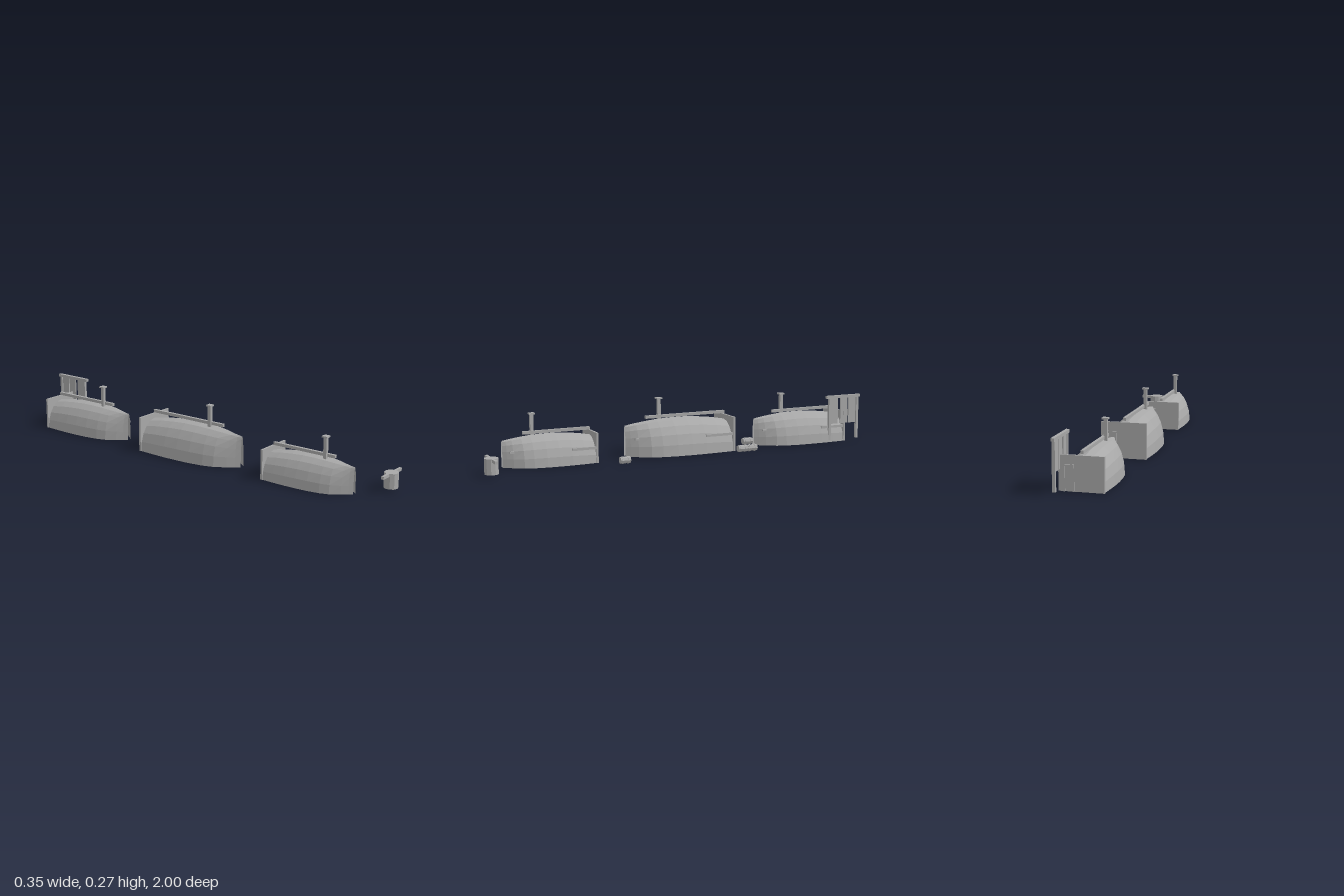
import * as THREE from 'three';

const grey = new THREE.MeshStandardMaterial({ color: 0xa8a8a8, flatShading: true, side: THREE.DoubleSide });
grey.name = 'weathered grey';

function add(parent, name, geometry, x = 0, y = 0, z = 0) {
  const mesh = new THREE.Mesh(geometry, grey);
  mesh.name = name;
  mesh.position.set(x, y, z);
  parent.add(mesh);
  return mesh;
}
const box = (parent, name, w, h, d, x, y, z) => add(parent, name, new THREE.BoxGeometry(w, h, d), x, y, z);

// Stations from stern to bow: position along length, width factor, height factor
const STATIONS = [
  [0, 0.93, 0.84], [0.14, 0.97, 0.92], [0.28, 1, 0.97], [0.42, 1, 1], [0.56, 0.97, 1],
  [0.7, 0.88, 0.98], [0.8, 0.74, 0.95], [0.9, 0.45, 0.91], [0.96, 0.24, 0.88], [1, 0.1, 0.86],
];
const SIDES = 10;

// Upturned hull: half-elliptic cross-sections, open below and at the narrow bow slit
function hullGeometry(length, halfWidth, height) {
  const points = [], index = [];
  STATIONS.forEach(([t, w, h], i) => {
    for (let j = 0; j <= SIDES; j++) {
      const a = Math.PI * j / SIDES;
      points.push(Math.cos(a) * w * halfWidth, Math.sin(a) * h * height, t * length);
    }
    if (i === 0) return;
    for (let j = 0; j < SIDES; j++) {
      const a = (i - 1) * (SIDES + 1) + j, b = a + SIDES + 1;
      index.push(a, a + 1, b, a + 1, b + 1, b);
    }
  });
  const g = new THREE.BufferGeometry();
  g.setAttribute('position', new THREE.Float32BufferAttribute(points, 3));
  g.setIndex(index.map((_, k) => index[k - (k % 3) + [0, 2, 1][k % 3]]));
  const flat = g.toNonIndexed();
  flat.computeVertexNormals();
  return flat;
}

// One boat house, origin at the stern on the ground, bow toward +z
function boatHouse(name, stern, length, halfWidth, height, panelW, panelH, mastTop) {
  const house = new THREE.Group();
  house.name = name;
  house.position.set(-0.0635, 0, stern);
  add(house, 'hull', hullGeometry(length, halfWidth, height));
  box(house, 'sternWall', panelW, panelH, 0.01, 0, panelH / 2, 0);

  // Ridge beam and chimney
  box(house, 'ridgeBeam', 0.014, 0.014, length * 0.92 - 0.07, 0, height + 0.009, 0.005 + (length * 0.92 - 0.07) / 2);
  const mz = length * 0.66, base = height * 0.9;
  box(house, 'chimney', 0.016, mastTop - base, 0.016, -0.009, (mastTop + base) / 2, mz);
  box(house, 'chimneyCap', 0.028, 0.007, 0.028, -0.009, mastTop - 0.003, mz);

  // Door frame on the stern wall
  const s = height / 0.172, dh = 0.122 * s;
  for (const x of [0.037, 0.08]) box(house, 'doorPost', 0.006, dh, 0.008, x * s, dh / 2, -0.006);
  box(house, 'doorLintel', 0.05 * s, 0.007, 0.01, 0.0585 * s, dh, -0.006);

  // Side plank and peg on the left flank
  box(house, 'sidePlank', 0.012, 0.012, length * 0.28, halfWidth * 0.86, height * 0.5, length * 0.14);
  box(house, 'peg', 0.01, 0.009, 0.02, halfWidth * 0.4, height * 0.5, length * 0.915);
  return house;
}

// Small hooped barrel lying along z
function barrel(x, y, z) {
  const g = new THREE.Group();
  g.name = 'barrel';
  g.position.set(x, y, z);
  g.rotation.x = Math.PI / 2;
  add(g, 'barrelBody', new THREE.CylinderGeometry(0.016, 0.016, 0.05, 8));
  for (const h of [-0.014, 0.014]) add(g, 'barrelHoop', new THREE.CylinderGeometry(0.018, 0.018, 0.008, 8), 0, h, 0);
  return g;
}

export function createModel() {
  const model = new THREE.Group();
  model.name = 'boatHouseVillage';

  model.add(
    boatHouse('frontBoatHouse', 0.44, 0.432, 0.097, 0.143, 0.186, 0.142, 0.241),
    boatHouse('middleBoatHouse', -0.27, 0.536, 0.1125, 0.173, 0.215, 0.169, 0.272),
    boatHouse('rearBoatHouse', -0.91, 0.476, 0.103, 0.156, 0.198, 0.153, 0.252),
  );

  // Barrels beside the houses
  model.add(barrel(0.1, 0.018, 0.332));
  for (const [y, z] of [[0.018, -0.295], [0.018, -0.347], [0.053, -0.32]]) model.add(barrel(0.08, y, z));

  // Tub with a carrying pole at the front
  const tub = new THREE.Group();
  tub.name = 'tub';
  tub.position.set(0.092, 0, 0.966);
  add(tub, 'tubBody', new THREE.CylinderGeometry(0.033, 0.033, 0.072, 10), 0, 0.044, 0);
  box(tub, 'carryingPole', 0.162, 0.014, 0.013, 0, 0.073, 0);
  model.add(tub);

  // Drying rack with hanging hides at the rear
  const rack = new THREE.Group();
  rack.name = 'dryingRack';
  rack.position.x = 0.03;
  box(rack, 'topRail', 0.016, 0.014, 0.198, 0, 0.23, -0.901);
  for (const z of [-0.822, -0.985]) box(rack, 'rackPost', 0.014, 0.222, 0.013, 0, 0.122, z);
  for (const z of [-0.85, -0.907, -0.955]) box(rack, 'hide', 0.006, 0.137, 0.042, 0, 0.161, z);
  model.add(rack);

  return model;
}
